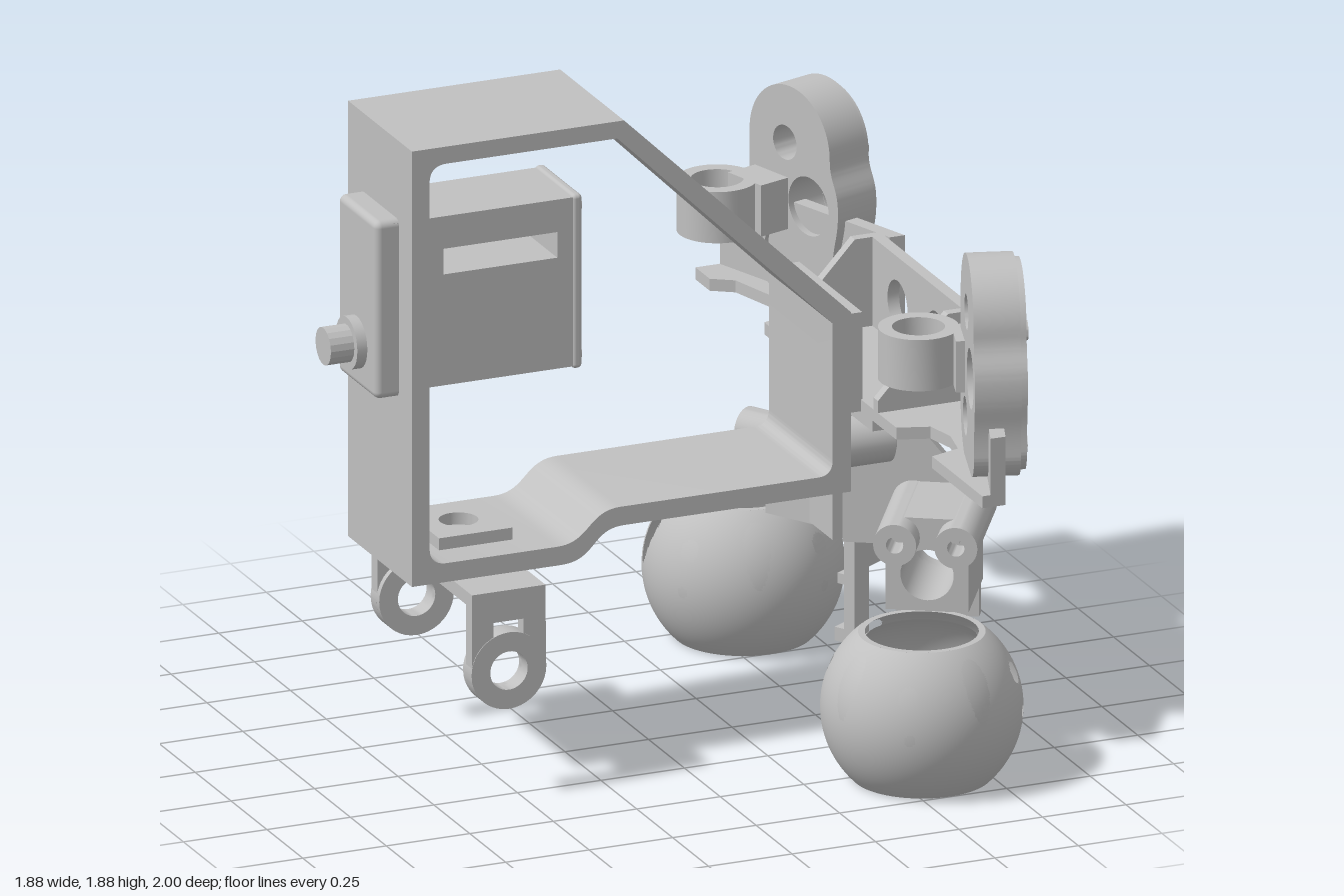
import * as THREE from 'three';
import { toCreasedNormals } from 'three/addons/utils/BufferGeometryUtils.js';
import { RoundedBoxGeometry } from 'three/addons/geometries/RoundedBoxGeometry.js';

const C = -0.0675; // centre plane of the mechanism along z

export function createModel() {
  const root = new THREE.Group();
  root.name = 'robotHead';
  const grey = new THREE.MeshStandardMaterial({ color: 0xc0c0c0, side: THREE.DoubleSide });
  grey.name = 'machined grey';

  const add = (parent, name, geo, x = 0, y = 0, z = 0) => {
    const m = new THREE.Mesh(geo, grey);
    m.name = name;
    m.position.set(x, y, z);
    parent.add(m);
    return m;
  };
  const group = (name) => {
    const g = new THREE.Group();
    g.name = name;
    root.add(g);
    return g;
  };
  const poly = (pts) => new THREE.Shape(pts.map((p) => new THREE.Vector2(p[0], p[1])));
  const circle = (x, y, r) => new THREE.Path().absarc(x, y, r, 0, Math.PI * 2, true);
  // extrusion centred on its own depth
  const extrude = (shape, depth, holes = []) => {
    shape.holes.push(...holes);
    const g = new THREE.ExtrudeGeometry(shape, { depth, bevelEnabled: false, curveSegments: 20 });
    g.translate(0, 0, -depth / 2);
    return toCreasedNormals(g, 0.6);
  };
  // horizontal slab from [x, z] corners between two heights
  const slab = (pts, y0, y1, holes = []) => {
    const g = extrude(poly(pts.map(([x, z]) => [x, -z])), y1 - y0, holes.map(([x, z, r]) => circle(x, -z, r)));
    return g.rotateX(-Math.PI / 2).translate(0, (y0 + y1) / 2, 0);
  };
  const box = (x, y, z) => new THREE.BoxGeometry(x, y, z);
  const rod = (r, len, axis, seg = 28) => {
    const g = new THREE.CylinderGeometry(r, r, len, seg);
    return axis === 'x' ? g.rotateZ(Math.PI / 2) : g.rotateX(Math.PI / 2);
  };
  const tube = (r, ri, len) => {
    const s = new THREE.Shape();
    s.absarc(0, 0, r, 0, Math.PI * 2);
    return extrude(s, len, [circle(0, 0, ri)]);
  };

  // bent side frame, a closed loop
  const outer = new THREE.Shape();
  outer.moveTo(-0.775, 0.61);
  outer.lineTo(-0.33, 0.61);
  outer.bezierCurveTo(-0.22, 0.61, -0.24, 0.7, -0.14, 0.7);
  outer.lineTo(0.54, 0.7);
  outer.lineTo(0.54, 1.225);
  outer.lineTo(-0.14, 1.885);
  outer.lineTo(-0.775, 1.885);
  const inner = new THREE.Path();
  inner.moveTo(-0.67, 0.665);
  inner.lineTo(-0.34, 0.665);
  inner.bezierCurveTo(-0.24, 0.665, -0.25, 0.755, -0.15, 0.755);
  inner.lineTo(0.44, 0.755);
  inner.quadraticCurveTo(0.485, 0.755, 0.485, 0.8);
  inner.lineTo(0.485, 1.2);
  inner.lineTo(-0.16, 1.835);
  inner.lineTo(-0.67, 1.835);
  inner.quadraticCurveTo(-0.722, 1.835, -0.722, 1.785);
  inner.lineTo(-0.722, 0.715);
  inner.quadraticCurveTo(-0.722, 0.665, -0.67, 0.665);
  add(root, 'mainFrame', extrude(outer, 0.445, [inner]), 0, 0, C);

  // servo motor with a slot through its case
  const servo = group('servo');
  const slot = poly([[-0.64, 1.475], [-0.64, 1.55], [-0.3, 1.55], [-0.3, 1.475]]);
  add(servo, 'servoCase', extrude(poly([[-0.79, 1.15], [-0.25, 1.15], [-0.25, 1.645], [-0.79, 1.645]]), 0.26, [slot]), 0, 0, C);
  add(servo, 'servoLid', new RoundedBoxGeometry(0.03, 0.51, 0.27, 3, 0.012), -0.241, 1.3975, C);
  add(servo, 'servoFront', new RoundedBoxGeometry(0.09, 0.52, 0.265, 3, 0.02), -0.8, 1.395, C);
  add(servo, 'servoFlange', box(0.032, 0.715, 0.25), -0.705, 1.397, C);
  add(servo, 'shaftCollar', rod(0.075, 0.04, 'x'), -0.855, 1.265, C);
  add(servo, 'outputShaft', toCreasedNormals(rod(0.054, 0.1, 'x', 18), 0.1), -0.895, 1.265, C);
  for (const y of [1.18, 1.615]) for (const z of [-0.1, 0.1])
    add(servo, 'caseScrew', rod(0.022, 0.02, 'x', 12), -0.232, y, C + z);

  // neck bracket under the frame with two eyelet arms
  const neck = group('neckBracket');
  add(neck, 'bracketPad', slab([[-0.65, C - 0.12], [-0.43, C - 0.12], [-0.43, C + 0.12], [-0.65, C + 0.12]], 0.66, 0.7, [[-0.54, C, 0.055]]));
  add(neck, 'bracketPlate', box(0.22, 0.04, 0.7), -0.54, 0.59, C);
  for (const s of [-1, 1]) {
    const arm = new THREE.Shape();
    arm.moveTo(-0.43, 0.61);
    arm.lineTo(-0.65, 0.61);
    arm.lineTo(-0.65, 0.375);
    arm.absarc(-0.54, 0.375, 0.112, Math.PI, Math.PI * 2);
    add(neck, 'eyeletArm', extrude(arm, 0.04, [circle(-0.54, 0.375, 0.056),
      poly([[-0.585, 0.475], [-0.585, 0.52], [-0.495, 0.52], [-0.495, 0.475]])]), 0, 0, C + s * 0.33);
    add(neck, 'eyeletRim', tube(0.112, 0.056, 0.06), -0.54, 0.375, C + s * 0.322);
  }

  // cross bar: bolted plate, floor, front plate with two holes, angled wings
  const bar = group('crossBar');
  add(bar, 'barBackPlate', box(0.035, 0.29, 0.44), 0.557, 1.075, C);
  add(bar, 'barFloor', slab([[0.57, C - 0.33], [0.87, C - 0.33], [0.87, C + 0.33], [0.57, C + 0.33]], 0.93, 0.965,
    [[0.615, C - 0.255, 0.02], [0.705, C - 0.255, 0.02], [0.615, C + 0.255, 0.02], [0.705, C + 0.255, 0.02]]));
  const front = extrude(poly([[-0.33, 0.93], [0.33, 0.93], [0.33, 1.225], [-0.33, 1.225]]), 0.035,
    [circle(-0.135, 1.085, 0.07), circle(0.135, 1.085, 0.07)]);
  add(bar, 'barFrontPlate', front.rotateY(Math.PI / 2), 0.85, 0, C);
  for (const s of [-1, 1]) {
    add(bar, 'barBolt', rod(0.025, 0.012, 'x', 16), 0.575, 1.085, C + s * 0.135);
    add(bar, 'barGusset', extrude(poly([[0.57, 0.93], [0.87, 0.93], [0.87, 1.225], [0.78, 1.225], [0.57, 1.0]]), 0.03), 0, 0, C + s * 0.325);
    const end = s > 0 ? 1.0 : -1.0;
    const face = (z) => 0.92 - 0.36 * (Math.abs(z - C) - 0.288); // outer wing surface
    const strip = (z0, z1, top) => add(bar, 'barWing', slab(
      [[face(z0), z0], [face(z1), z1], [face(z1) - 0.045, z1], [face(z0) - 0.045, z0]], 0.93, top));
    const mid = s > 0 ? 0.6 : -0.8;
    strip(C + s * 0.288, mid, 1.225);
    strip(mid, end, s > 0 ? 1.13 : 1.225);
    const z0 = C + s * 0.33;
    // floor notched below the socket
    const notch = s > 0 ? [[0.57, 0.65], [0.66, 0.62], [0.68, 0.52], [0.66, 0.43], [0.57, 0.4]]
      : [[0.57, -0.9], [0.63, -0.86], [0.68, -0.68], [0.67, -0.56], [0.57, -0.52]];
    add(bar, 'wingFloor', slab([[0.57, z0], [face(z0) - 0.02, z0], [face(end) - 0.02, end], [0.57, end], ...notch], 0.93, 0.965));
    for (const y of [1.2, 1.05])
      add(bar, 'wingScrew', rod(0.016, 0.02, 'x', 12), face(C + s * 0.585), y, C + s * 0.585);
  }

  // gear housings at the ends, each with an upright socket behind it
  for (const s of [-1, 1]) {
    const housing = group('gearHousing');
    const outline = () => {
      const o = new THREE.Shape();
      o.moveTo(0.17, 1.09);
      o.lineTo(0.17, 1.4);
      o.absarc(0, 1.4, 0.17, 0, Math.PI);
      o.bezierCurveTo(-0.17, 1.33, -0.205, 1.33, -0.205, 1.25);
      o.bezierCurveTo(-0.205, 1.17, -0.18, 1.16, -0.18, 1.05);
      o.absarc(-0.1, 1.045, 0.08, Math.PI, Math.PI * 1.5);
      o.absarc(0.04, 1.09, 0.13, -Math.PI / 2, 0);
      return o;
    };
    const holes = () => [circle(0.02, 1.4, 0.05), circle(-0.08, 1.24, 0.085), circle(0.05, 1.085, 0.055)];
    add(housing, 'housingBody', extrude(outline(), 0.13, holes()));
    const cover = extrude(outline(), 0.025, holes());
    add(housing, 'housingCover', cover.translate(0, -1.265, 0).scale(0.95, 0.95, 1).translate(0, 1.265, 0), 0, 0, 0.07);
    for (const [x, y] of [[-0.13, 1.395], [0.11, 1.395], [-0.11, 1.06]])
      add(housing, 'housingScrew', tube(0.028, 0.014, 0.02), x, y, 0.078);
    housing.position.set(s > 0 ? 0.7 : 0.79, 0, s > 0 ? 0.755 : -0.73);
    housing.rotation.y = Math.PI / 2 - s * 0.3;

    const [x, z] = s > 0 ? [0.585, 0.52] : [0.545, -0.79];
    const socket = group('socket');
    add(socket, 'socketRing', tube(0.112, 0.073, 0.15).rotateX(Math.PI / 2), x, 1.225, z);
    const link = add(socket, 'socketLink', box(0.1, 0.15, 0.14), x + 0.115, 1.225, z + (s > 0 ? 0.1 : 0.02));
    link.rotation.y = -s * 0.3;
  }

  // lower mounting plate and centre column carrying both eye brackets
  add(root, 'mountPlate', box(0.19, 0.035, 0.6), 0.665, 0.915, C);
  add(root, 'mountColumn', box(0.03, 0.39, 0.16), 0.56, 0.705, C);

  for (const s of [-1, 1]) {
    // angled bracket: plate, boss, twin tubes, block and catch strip
    const eye = group('eyeBracket');
    const put = (name, geo, u, y, n) => add(eye, name, geo, u, y, s * n);
    const plate = poly([[0.04, 0.9], [0.22, 0.9], [0.42, 0.66], [0.42, 0.31], [0.26, 0.31], [0.26, 0.1],
      [0.19, 0.1], [0.19, 0.51], [0.04, 0.51]]);
    put('bracketPlate', extrude(plate, 0.035, [circle(0.315, 0.525, 0.08)]), 0, 0, 0);
    put('bracketCollar', tube(0.092, 0.074, 0.06), 0.315, 0.525, 0);
    put('catch', box(0.07, 0.04, 0.05), 0.225, 0.12, 0.025);
    put('catch', box(0.07, 0.03, 0.04), 0.225, 0.285, 0.02);
    put('topBoss', rod(0.07, 0.14, 'x').rotateY(s * 0.55), 0.099, 0.815, 0.027);
    put('topScrew', tube(0.05, 0.022, 0.03).rotateY(Math.PI / 2 + s * 0.55), 0.155, 0.815, -0.008);
    for (const u of [0.238, 0.408]) {
      put('pivotTube', tube(0.06, 0.024, 0.38), u, 0.64, 0.19);
      put('plateScrew', rod(0.024, 0.02, 'z', 14), u - 0.01, 0.64, -0.018);
    }
    put('pivotBridge', box(0.17, 0.07, 0.3), 0.323, 0.663, 0.16);
    const block = poly([[0.2, 0.42], [0.43, 0.42], [0.43, 0.64], [0.2, 0.64]]);
    put('pivotBlock', extrude(block, 0.28, [circle(0.315, 0.525, 0.074)]), 0, 0, 0.15);
    eye.position.set(0.54, 0, C + s * 0.0675);
    eye.rotation.y = -s * 0.55;

    // eyeball shell, open above and below, its outer skin cut by rings of holes
    const ball = group('eyeShell');
    const R = 0.28, Ri = 0.25, cy = 0.202;
    const top = Math.acos((0.42 - cy) / R), bottom = Math.acos(-cy / R);
    const skin = (r, w, h) => new THREE.SphereGeometry(r, w, h, 0, Math.PI * 2, top, bottom - top);
    // angle, height, half width, half height, taper towards the lower end
    const cuts = [];
    for (let k = 0; k < 4; k++) {
      const a = k * Math.PI / 2;
      cuts.push([a + 0.25, 0.105, 0.036, 0.088, 0.35], [a + 1.02, 0.11, 0.028, 0.03, 0], [a - 0.52, -0.005, 0.016, 0.016, 0]);
    }
    const g = skin(R, 240, 72), p = g.attributes.position, keep = [];
    for (let i = 0; i < g.index.count; i += 3) {
      const tri = [0, 1, 2].map((j) => g.index.getX(i + j));
      const mean = (f) => tri.reduce((t, v) => t + f(v) / 3, 0);
      const x = mean((v) => p.getX(v)), y = mean((v) => p.getY(v)), z = s * mean((v) => p.getZ(v));
      const open = cuts.some(([a, h, rx, ry, taper]) => {
        const d = Math.atan2(x, z) - a, t = (y - h) / ry;
        const across = Math.atan2(Math.sin(d), Math.cos(d)) * Math.hypot(x, z);
        return Math.hypot(across / (rx * (1 + taper * t)), t) < 1;
      });
      if (!open) keep.push(...tri);
    }
    g.setIndex(keep);
    add(ball, 'outerShell', g, 0, cy, 0);
    add(ball, 'innerShell', skin(Ri, 72, 24), 0, cy, 0);
    // rims joining the two shells
    for (const a of [top, bottom]) {
      const rim = new THREE.RingGeometry(Ri * Math.sin(a), R * Math.sin(a), 72).rotateX(a === top ? -Math.PI / 2 : Math.PI / 2);
      add(ball, 'shellRim', rim, 0, cy + R * Math.cos(a), 0);
    }
    ball.position.set(0.58, 0, C + s * 0.622);
  }
  return root;
}
